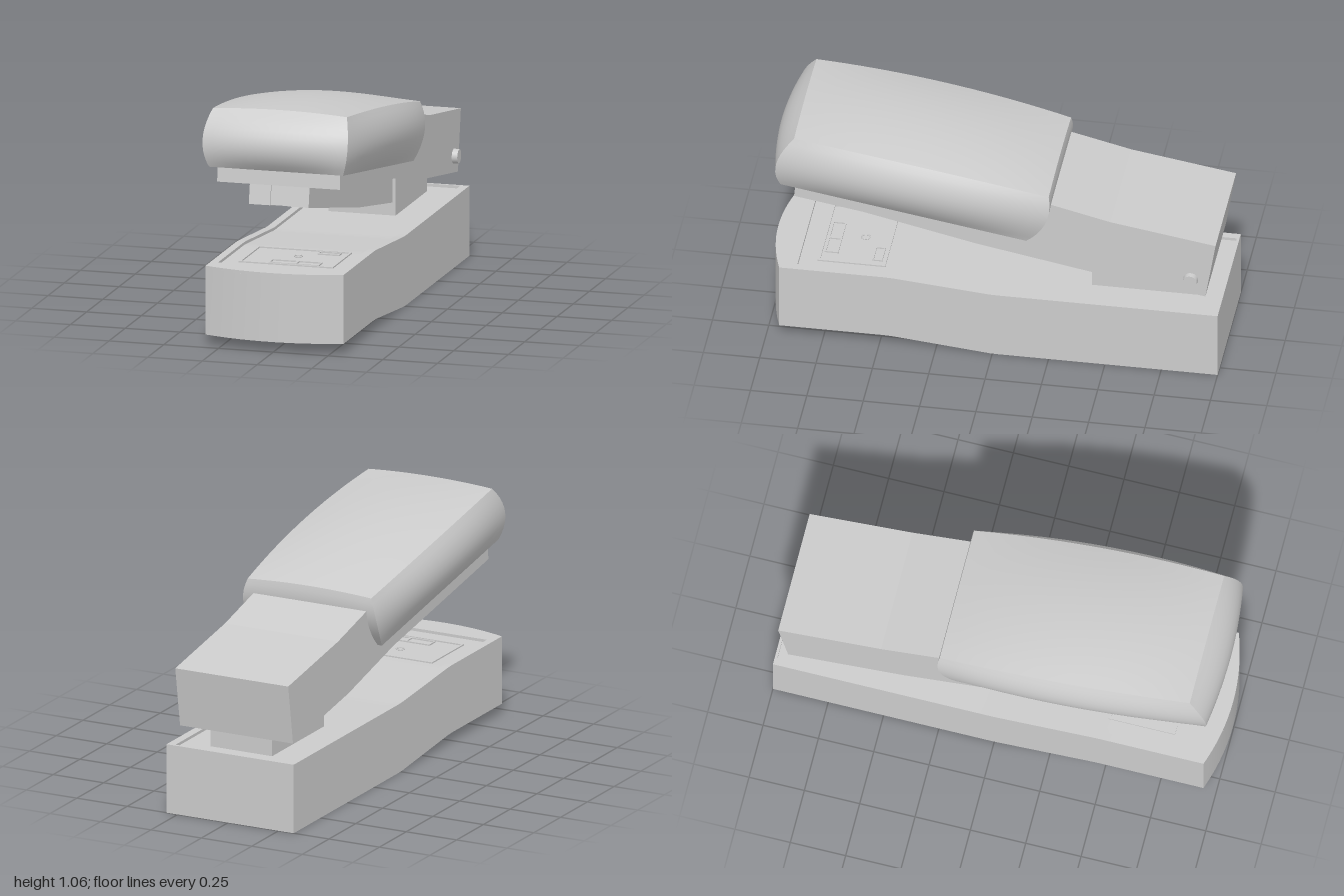
import * as THREE from 'three';

const grey = new THREE.MeshStandardMaterial({ color: 0xcccccc, side: THREE.DoubleSide });
const lerp = THREE.MathUtils.lerp;

export function createModel() {
  const model = new THREE.Group();
  const add = (name, geometry, parent = model) => {
    const mesh = new THREE.Mesh(geometry, grey);
    mesh.name = name;
    parent.add(mesh);
    return mesh;
  };
  const group = (name) => {
    const g = new THREE.Group();
    g.name = name;
    model.add(g);
    return g;
  };
  // Side profile of [z, y] points extruded from x0 to x1
  const slab = (points, x0, x1) =>
    new THREE.ExtrudeGeometry(new THREE.Shape(points.map((p) => new THREE.Vector2(...p))), {
      depth: x1 - x0, bevelEnabled: false,
    }).rotateY(-Math.PI / 2).translate(x1, 0, 0);
  const block = (x0, x1, y0, y1, z0, z1) =>
    new THREE.BoxGeometry(x1 - x0, y1 - y0, z1 - z0)
      .translate((x0 + x1) / 2, (y0 + y1) / 2, (z0 + z1) / 2);
  // Box whose vertices are moved by a rule taking u, v, w in -1..1
  const warp = (nx, ny, nz, rule) => {
    const g = new THREE.BoxGeometry(2, 2, 2, nx, ny, nz);
    const p = g.attributes.position;
    for (let i = 0; i < p.count; i++) p.setXYZ(i, ...rule(p.getX(i), p.getY(i), p.getZ(i)));
    g.computeVertexNormals();
    return g;
  };

  // Base: bent underside and top, bowed front, shallow recess inside a rim
  const base = group('base');
  const ramp = (z) => THREE.MathUtils.clamp(z / 0.46, 0, 1);
  const bottom = (z) => 0.045 * ramp(z);
  const top = (z) => 0.315 + 0.04 * ramp(z);
  const floor = (z) => top(z) - 0.013;
  const bow = (x) => 0.945 + 0.055 * (1 - ((x + 0.01) / 0.315) ** 2);
  const strip = (name, x0, x1, z0, z1, low, high) =>
    add(name, warp(14, 1, 50, (u, v, w) => {
      const x = lerp(x0, x1, (u + 1) / 2);
      const z = lerp(z0, z1 ?? bow(x), (w + 1) / 2);
      return [x, v < 0 ? low(z) : high(z), z];
    }), base);
  strip('baseBody', -0.325, 0.305, -1, null, bottom, floor);
  strip('baseRimRight', -0.325, -0.29, -1, null, floor, top);
  strip('baseRimLeft', 0.267, 0.305, -1, null, floor, top);
  strip('baseRimBack', -0.29, 0.267, -1, -0.988, floor, top);
  strip('baseRimFront', -0.29, 0.267, 0.87, null, floor, top);

  // Anvil plate: thin raised outlines on the recess floor
  const anvil = group('anvilPlate');
  const outline = (name, x0, x1, z0, z1, t) => {
    const s = new THREE.Shape([[x0, -z1], [x1, -z1], [x1, -z0], [x0, -z0]].map((p) => new THREE.Vector2(...p)));
    s.holes.push(new THREE.Path([[x0 + t, -z1 + t], [x0 + t, -z0 - t], [x1 - t, -z0 - t], [x1 - t, -z1 + t]]
      .map((p) => new THREE.Vector2(...p))));
    add(name, new THREE.ExtrudeGeometry(s, { depth: 0.008, bevelEnabled: false })
      .rotateX(-Math.PI / 2).translate(0, 0.34, 0), anvil);
  };
  outline('anvilBorder', -0.22, 0.21, 0.49, 0.79, 0.01);
  outline('anvilSlotRight', -0.09, 0.03, 0.71, 0.77, 0.006);
  outline('anvilSlotLeft', 0.03, 0.14, 0.71, 0.77, 0.006);
  outline('anvilSlotBack', 0.07, 0.17, 0.51, 0.555, 0.006);
  add('anvilPivot', new THREE.TorusGeometry(0.018, 0.003, 6, 20).rotateX(Math.PI / 2)
    .translate(0, 0.344, 0.61), anvil);

  // Hinge bracket between base and arm
  add('hingeBracket', block(-0.165, 0.14, 0.29, 0.55, -0.9, -0.415));

  // Arm: solid cheeks, middle notched underneath around the bracket
  const arm = group('arm');
  const armFront = [[-0.42, 0.475], [0, 0.575], [0.885, 0.722], [0.875, 0.82],
    [0.4, 0.86], [-0.25, 0.805], [-0.52, 0.74], [-0.985, 0.665], [-0.94, 0.39]];
  const notch = [[-0.83, 0.409], [-0.83, 0.56], [-0.5, 0.6], [-0.5, 0.461]];
  add('armCheekRight', slab(armFront, -0.29, -0.235), arm);
  add('armMiddle', slab([...armFront, ...notch], -0.235, 0.21), arm);
  add('armCheekLeft', slab(armFront, 0.21, 0.27), arm);

  // Hinge pin head on the left cheek
  add('hingePin', new THREE.CylinderGeometry(0.031, 0.033, 0.03, 24)
    .rotateZ(-Math.PI / 2).translate(0.28, 0.475, -0.875));

  // Magazine: open channel under the arm with a nose at the front
  const magazine = group('magazine');
  const wall = [[-0.415, 0.36], [0.1, 0.455], [0.88, 0.63], [0.862, 0.73], [0, 0.585], [-0.415, 0.485]];
  add('magazineWallRight', slab(wall, -0.147, -0.134), magazine);
  add('magazineWallLeft', slab(wall, 0.113, 0.126), magazine);
  [[-0.134, -0.05, 0], [-0.05, 0.03, 0.008], [0.03, 0.113, 0]].forEach(([x0, x1, back]) =>
    add('magazineNose', slab([[0.79, 0.61], [0.88 - back, 0.63], [0.862 - back, 0.73], [0.78, 0.71]], x0, x1), magazine));

  // Cover: rounded cap over the front of the arm, bulging at front and sides
  add('cover', warp(14, 10, 18, (u, v, w) => {
    const s = (w + 1) / 2, t = (v + 1) / 2;
    const bu = 1 - u * u, bv = 1 - v * v, bw = 1 - w * w;
    const back = lerp(-0.15, -0.25, t) - 0.04 * bv;
    const front = lerp(0.94, 0.88, t) + 0.045 * bv + 0.03 * bu * bv;
    const low = lerp(0.62, 0.8, s);
    const high = lerp(0.865, 1.05, s) + 0.018 * bw + bu * (0.012 + 0.025 * bw);
    const half = 0.306 + 0.02 * bw * t + bv * (0.025 + 0.03 * bw);
    return [-0.005 + u * half, lerp(low, high, t), lerp(back, front, s)];
  }));

  return model;
}
